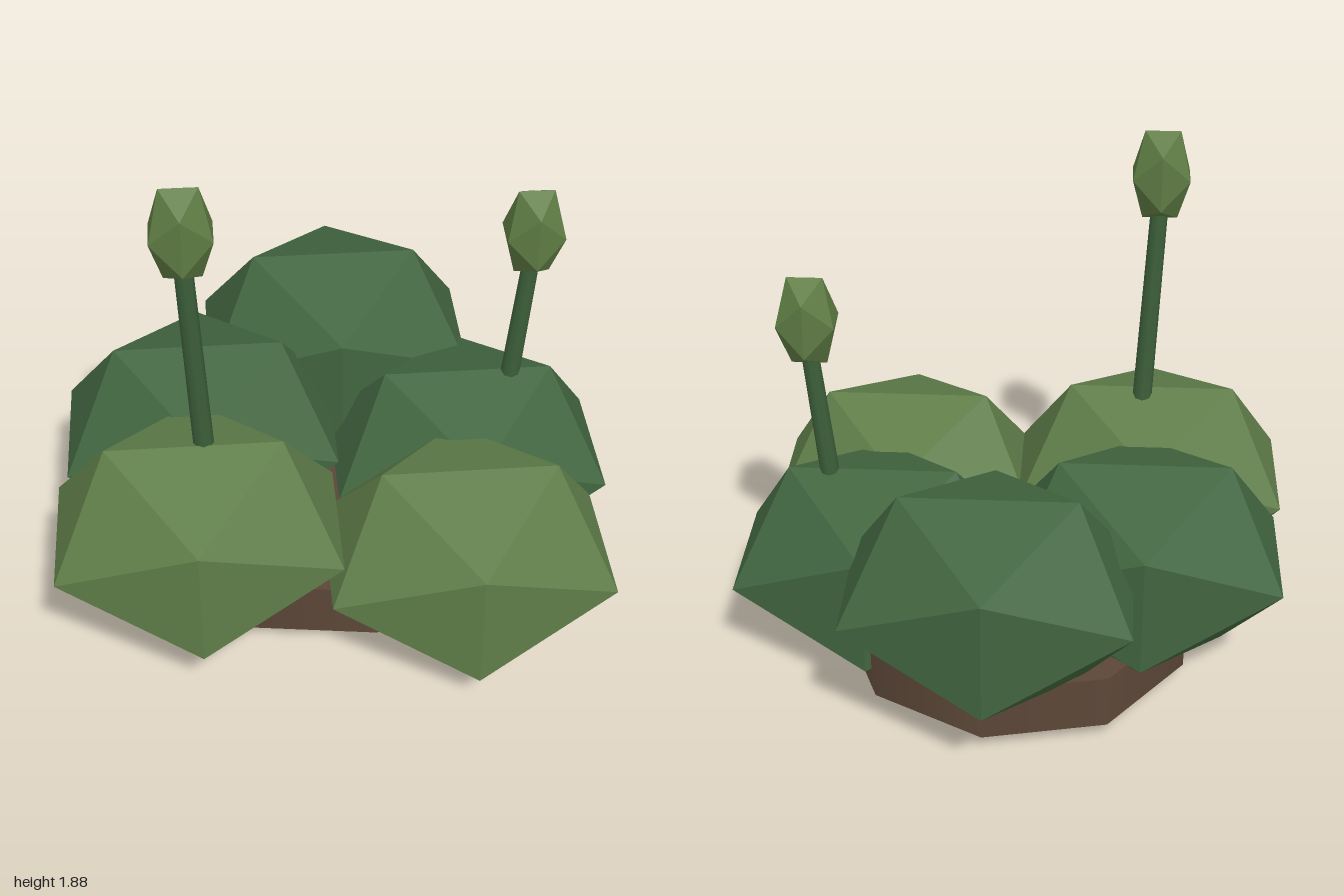
import * as THREE from 'three';

const paint = (color, flatShading = true) => new THREE.MeshStandardMaterial({ color, flatShading });
const olive = paint(0x5e7c48);
const darkGreen = paint(0x41653f);
const budGreen = paint(0x5e7b43);
const stemGreen = paint(0x3c5f3a, false);
const brown = paint(0x5c4738, false);

// Stretched low-poly ball
function blob(name, material, center, scale) {
  const mesh = new THREE.Mesh(new THREE.IcosahedronGeometry(1, 0), material);
  mesh.name = name;
  mesh.position.set(...center);
  mesh.scale.set(...scale);
  return mesh;
}

// Leaning stem between two points
function stem(from, to) {
  const a = new THREE.Vector3(...from);
  const b = new THREE.Vector3(...to);
  const dir = b.clone().sub(a);
  const mesh = new THREE.Mesh(new THREE.CylinderGeometry(0.031, 0.036, dir.length(), 8), stemGreen);
  mesh.name = 'stem';
  mesh.position.copy(a).add(b).multiplyScalar(0.5);
  mesh.quaternion.setFromUnitVectors(new THREE.Vector3(0, 1, 0), dir.normalize());
  return mesh;
}

export function createModel() {
  const model = new THREE.Group();
  model.name = 'shrub';

  // Soil mound under the foliage
  const soil = new THREE.Mesh(new THREE.CylinderGeometry(0.655, 0.655, 0.205, 9), brown);
  soil.name = 'soil';
  soil.position.set(-0.02, 0.168, -0.04);
  soil.rotation.y = THREE.MathUtils.degToRad(12);
  model.add(soil);

  // Foliage clumps
  const clumps = [
    ['frontRightClump', olive, [-0.505, 0.478, 0.44]],
    ['frontLeftClump', olive, [0.435, 0.372, 0.52]],
    ['leftClump', darkGreen, [0.505, 0.372, -0.033]],
    ['rightClump', darkGreen, [-0.477, 0.478, -0.12]],
    ['backClump', darkGreen, [0.052, 0.58, -0.527]],
  ];
  for (const [name, material, center] of clumps) {
    model.add(blob(name, material, center, [0.58, 0.437, 0.482]));
  }

  // Tall shoots, each a stem with a bud
  const shoots = [
    ['rightShoot', [-0.467, 0.78, 0.408], [-0.506, 1.62, 0.443]],
    ['leftShoot', [0.656, 0.68, -0.03], [0.71, 1.25, -0.03]],
  ];
  for (const [name, from, to] of shoots) {
    const shoot = new THREE.Group();
    shoot.name = name;
    shoot.add(stem(from, to));
    shoot.add(blob('bud', budGreen, [to[0], to[1] + 0.095, to[2]], [0.119, 0.194, 0.119]));
    model.add(shoot);
  }
  return model;
}
